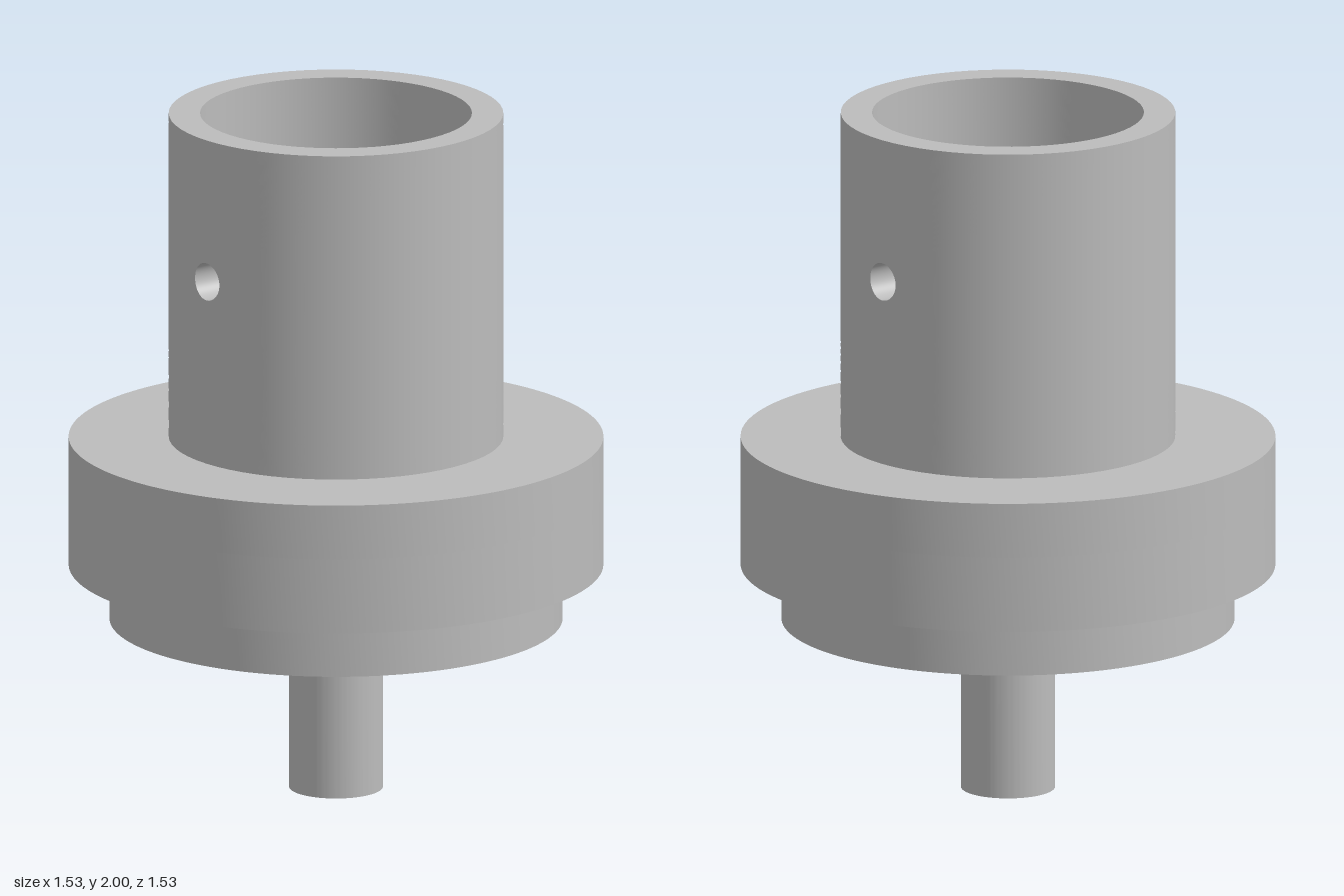
import * as THREE from 'three';
import { toCreasedNormals } from 'three/addons/utils/BufferGeometryUtils.js';

const steel = new THREE.MeshStandardMaterial({ color: 0xbcbcbc });
steel.name = 'plain grey steel';

const BORE = 0.067;                     // bore through the floor and the stem
const CUP = { outer: 0.48, inner: 0.39, bottom: 1.04, top: 2 };
const PIN = { radius: 0.055, y: 1.58 }; // cross hole through the cup wall
const SIDE = 32;                        // points along each side of a wall panel
const N = SIDE * 4;

function add(parent, name, geometry) {
  const mesh = new THREE.Mesh(geometry, steel);
  mesh.name = name;
  parent.add(mesh);
  return mesh;
}

// Upright round plate with round holes given as [x, radius]
function plate(radius, holes, bottom, top) {
  const shape = new THREE.Shape().absarc(0, 0, radius, 0, Math.PI * 2);
  for (const [x, r] of holes) {
    shape.holes.push(new THREE.Path().absarc(x, 0, r, 0, Math.PI * 2, true));
  }
  const geometry = new THREE.ExtrudeGeometry(shape, {
    depth: top - bottom, bevelEnabled: false, curveSegments: 64,
  });
  geometry.rotateX(-Math.PI / 2).translate(0, bottom, 0);
  return toCreasedNormals(geometry, 0.6);
}

// Closed loops of N points joined into a surface
function loops(rows, point, flip = false) {
  const positions = [], index = [];
  for (let j = 0; j <= rows; j++) {
    for (let i = 0; i < N; i++) positions.push(...point(i, j / rows));
  }
  for (let j = 0; j < rows; j++) {
    for (let i = 0; i < N; i++) {
      const k = (i + 1) % N;
      const a = j * N + i, b = a + N, c = (j + 1) * N + k, d = j * N + k;
      if (flip) index.push(a, d, b, b, d, c);
      else index.push(a, b, d, b, c, d);
    }
  }
  const geometry = new THREE.BufferGeometry();
  geometry.setAttribute('position', new THREE.Float32BufferAttribute(positions, 3));
  geometry.setIndex(index);
  geometry.computeVertexNormals();
  return geometry;
}

// Point i on the outline of a square from -1 to 1, counterclockwise
function squarePoint(i) {
  const t = (i % SIDE) / SIDE * 2 - 1;
  return [[1, t], [-t, 1], [-1, -t], [t, -1]][Math.floor(i / SIDE)];
}

// Point on a cylinder between the cross hole (t = 0) and the half-wall edge (t = 1)
function wallPoint(radius, i, t) {
  const [u, v] = squarePoint(i);
  const a = Math.atan2(v, u);
  const holeAngle = Math.asin(PIN.radius * Math.cos(a) / radius);
  const holeY = PIN.y + PIN.radius * Math.sin(a);
  const edgeY = THREE.MathUtils.lerp(CUP.bottom, CUP.top, (v + 1) / 2);
  const angle = THREE.MathUtils.lerp(holeAngle, u * Math.PI / 2, t);
  const y = THREE.MathUtils.lerp(holeY, edgeY, t);
  return [radius * Math.cos(angle), y, -radius * Math.sin(angle)];
}

// Half of a cylindrical wall with radial normals
function halfWall(radius, inward) {
  const geometry = loops(24, (i, t) => wallPoint(radius, i, t), inward);
  const p = geometry.attributes.position, n = geometry.attributes.normal;
  const s = (inward ? -1 : 1) / radius;
  for (let i = 0; i < p.count; i++) n.setXYZ(i, p.getX(i) * s, 0, p.getZ(i) * s);
  return geometry;
}

export function createModel() {
  const model = new THREE.Group();
  model.name = 'flanged socket';

  // Flange: lower layer carries two blind holes, upper layer closes them
  const flange = new THREE.Group();
  flange.name = 'flange';
  model.add(flange);
  const blind = [[-0.32, 0.094], [0.32, 0.094]];
  add(flange, 'flangeLower', plate(0.767, [[0, BORE], ...blind], 0.66, 0.88));
  add(flange, 'flangeUpper', plate(0.767, [[0, BORE]], 0.88, 1.04));

  // Locating ring and hollow stem underneath
  add(model, 'locatingRing', plate(0.65, [[0, 0.6]], 0.5, 0.66));
  add(model, 'stem', plate(0.135, [[0, BORE]], 0, 0.66));

  // Cup: two mirrored half walls, each pierced by the cross hole
  const cup = new THREE.Group();
  cup.name = 'cup';
  model.add(cup);
  const outer = halfWall(CUP.outer, false);
  const inner = halfWall(CUP.inner, true);
  const pinHole = loops(1, (i, t) =>
    wallPoint(THREE.MathUtils.lerp(CUP.inner, CUP.outer, t), i, 0));
  for (const turn of [0, Math.PI]) {
    add(cup, 'cupOuterWall', outer).rotation.y = turn;
    add(cup, 'cupInnerWall', inner).rotation.y = turn;
    add(cup, 'crossHole', pinHole).rotation.y = turn;
  }
  const rim = new THREE.RingGeometry(CUP.inner, CUP.outer, SIDE * 2);
  add(cup, 'cupRim', rim.rotateX(-Math.PI / 2).translate(0, CUP.top, 0));

  return model;
}
